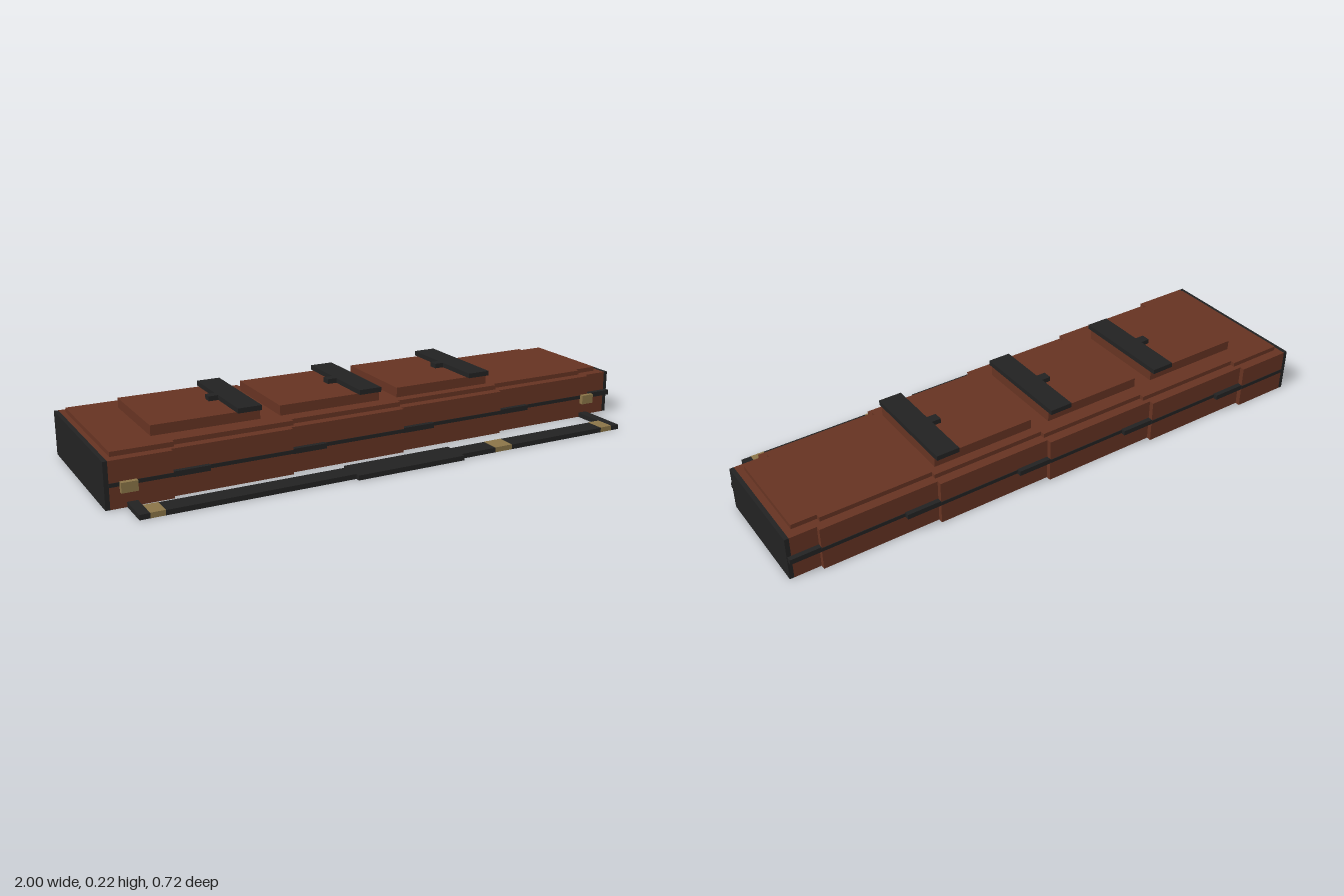
import * as THREE from 'three';

function mat(name, color) {
  const m = new THREE.MeshStandardMaterial({ color });
  m.name = name;
  return m;
}

export function createModel() {
  const leather = mat('brown leather', 0x663322);
  const black = mat('black trim', 0x222222);
  const brass = mat('dull brass', 0x8b7548);
  const model = new THREE.Group();
  model.name = 'longCase';

  // Box given by its extents on each axis
  function box(name, material, [x0, x1], [y0, y1], [z0, z1], parent = model) {
    const mesh = new THREE.Mesh(new THREE.BoxGeometry(x1 - x0, y1 - y0, z1 - z0), material);
    mesh.position.set((x0 + x1) / 2, (y0 + y1) / 2, (z0 + z1) / 2);
    mesh.name = name;
    parent.add(mesh);
    return mesh;
  }

  // Six case sections, each narrower than the one before
  const bodyX = [-0.985, -0.78, -0.365, 0.063, 0.48, 0.893, 0.985];
  const lidX = [-0.968, -0.763, -0.347, 0.067, 0.48, 0.875, 0.962];
  const step = 0.0171;
  const front = i => 0.225 - i * step;
  const back = i => -0.361 + i * step;
  const body = new THREE.Group();
  body.name = 'caseBody';
  model.add(body);
  for (let i = 0; i < 6; i++) {
    box('bodySection', leather, [bodyX[i], bodyX[i + 1]], [0, 0.157], [back(i), front(i)], body);
    box('lidSection', leather, [lidX[i], lidX[i + 1]], [0.157, 0.173], [back(i) + 0.034, front(i) - 0.034], body);
    // Seam around the section
    box('seam', black, [bodyX[i], bodyX[i + 1]], [0.072, 0.085], [back(i) - 0.002, front(i) + 0.002], body);
    // Hinge and clasp filling the step on both sides
    if (i > 0) {
      const x1 = Math.min(bodyX[i] + 0.122, 0.998);
      box('backHinge', black, [bodyX[i], x1], [0.07, 0.088], [back(i - 1), back(i)], body);
      box('frontClasp', black, [bodyX[i], x1], [0.07, 0.088], [front(i), front(i - 1)], body);
    }
  }

  // End plates
  box('wideEndPlate', black, [-1, -0.985], [0, 0.157], [back(0), front(0)]);
  box('narrowEndPlate', black, [0.985, 1], [0, 0.157], [back(5), front(5)]);

  // Raised lid panels, each with a cross strap and tab
  for (const x of [-0.81, -0.363, 0.084]) {
    const panel = new THREE.Group();
    panel.name = 'lidPanel';
    model.add(panel);
    box('raisedPanel', leather, [x, x + 0.375], [0.173, 0.208], [-0.241, 0.104], panel);
    box('crossStrap', black, [x + 0.291, x + 0.375], [0.208, 0.225], [-0.258, 0.121], panel);
    box('strapTab', black, [x + 0.257, x + 0.291], [0.208, 0.225], [-0.087, -0.054], panel);
  }

  // Brass strap mounts on the front
  box('wideEndMount', brass, [-0.952, -0.898], [0.053, 0.087], [front(0), 0.242]);
  box('narrowEndMount', brass, [0.86, 0.91], [0.053, 0.087], [front(5), 0.172]);

  // Carrying strap lying on the ground
  const strap = new THREE.Group();
  strap.name = 'carryingStrap';
  model.add(strap);
  const thick = [0, 0.017], wide = [0.273, 0.344];
  box('strapArm', black, [-0.932, -0.898], thick, [0.225, 0.344], strap);
  box('strapArm', black, [0.858, 0.892], thick, [0.155, 0.344], strap);
  const runs = [[-0.85, -0.205], [0.203, 0.343], [0.412, 0.81]];
  for (const r of runs) box('strapWebbing', black, r, thick, wide, strap);
  const buckles = [[-0.898, -0.85], [0.343, 0.412], [0.81, 0.858]];
  for (const b of buckles) box('strapBuckle', brass, b, [0, 0.018], wide, strap);
  box('shoulderPad', black, [-0.205, 0.203], thick, [0.256, 0.361], strap);

  return model;
}
